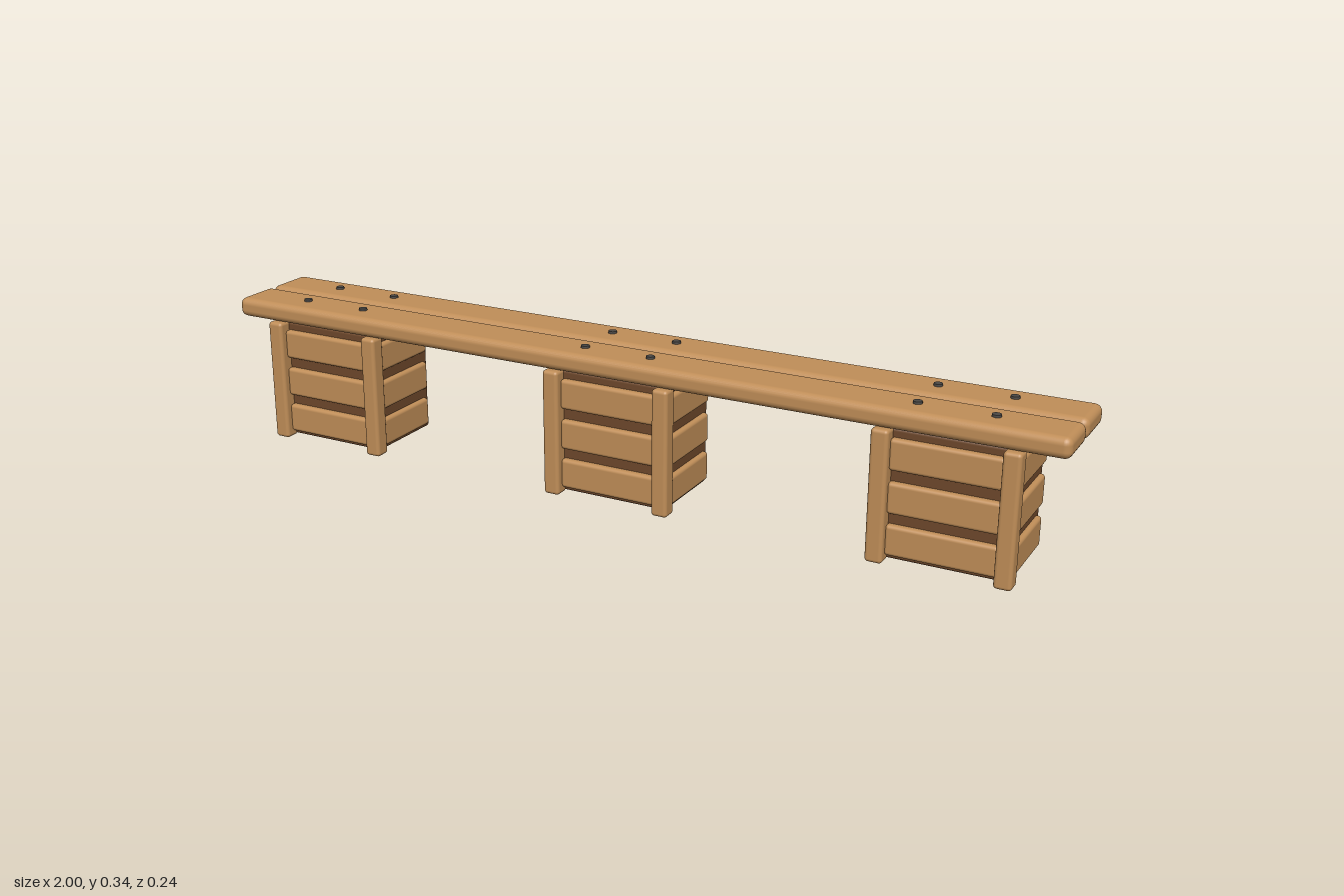
import * as THREE from 'three';
import { RoundedBoxGeometry } from 'three/addons/geometries/RoundedBoxGeometry.js';

const mat = (name, color) => {
  const m = new THREE.MeshStandardMaterial({ color });
  m.name = name;
  return m;
};

export function createModel() {
  const wood = mat('light wood', 0xc08e58);
  const dark = mat('dark wood', 0x6e482b);
  const metal = mat('bolt metal', 0x4a4744);
  const bench = new THREE.Group();
  bench.name = 'bench';

  // Rounded box given by its minimum and maximum corners
  const block = (parent, name, material, min, max, radius) => {
    const size = max.map((v, i) => v - min[i]);
    const mesh = new THREE.Mesh(new RoundedBoxGeometry(...size, 3, radius), material);
    mesh.position.set(...max.map((v, i) => (v + min[i]) / 2));
    mesh.name = name;
    parent.add(mesh);
  };

  // Two seat planks
  block(bench, 'frontPlank', wood, [-1, 0.288, 0.001], [1, 0.333, 0.116], 0.016);
  block(bench, 'backPlank', wood, [-1, 0.288, -0.122], [1, 0.333, -0.006], 0.016);

  const boltGeometry = new THREE.CylinderGeometry(0.0095, 0.0105, 0.01, 12);
  const slatRows = [[0.015, 0.082], [0.106, 0.174], [0.199, 0.267]];

  for (const x of [-0.757, 0, 0.757]) {
    const support = new THREE.Group();
    support.name = 'support';
    support.position.x = x;
    bench.add(support);

    // Dark box behind the slats
    block(support, 'core', dark, [-0.136, 0.004, -0.109], [0.136, 0.286, 0.092], 0.007);

    // Slats wrapping the front and both sides
    for (const [y0, y1] of slatRows) {
      block(support, 'frontSlat', wood, [-0.118, y0, 0.07], [0.118, y1, 0.106], 0.008);
      for (const s of [-1, 1]) {
        const [a, b] = s < 0 ? [-0.147, -0.115] : [0.115, 0.147];
        block(support, 'sideSlat', wood, [a, y0, -0.095], [b, y1, 0.095], 0.008);
      }
    }

    for (const s of [-1, 1]) {
      // Front corner posts
      const [a, b] = s < 0 ? [-0.153, -0.115] : [0.115, 0.153];
      block(support, 'cornerPost', wood, [a, 0, 0.084], [b, 0.288, 0.122], 0.008);

      // Bolts through the planks
      for (const z of [0.057, -0.065]) {
        const bolt = new THREE.Mesh(boltGeometry, metal);
        bolt.name = 'bolt';
        bolt.position.set(s * 0.08, 0.333, z);
        support.add(bolt);
      }
    }
  }
  return bench;
}
